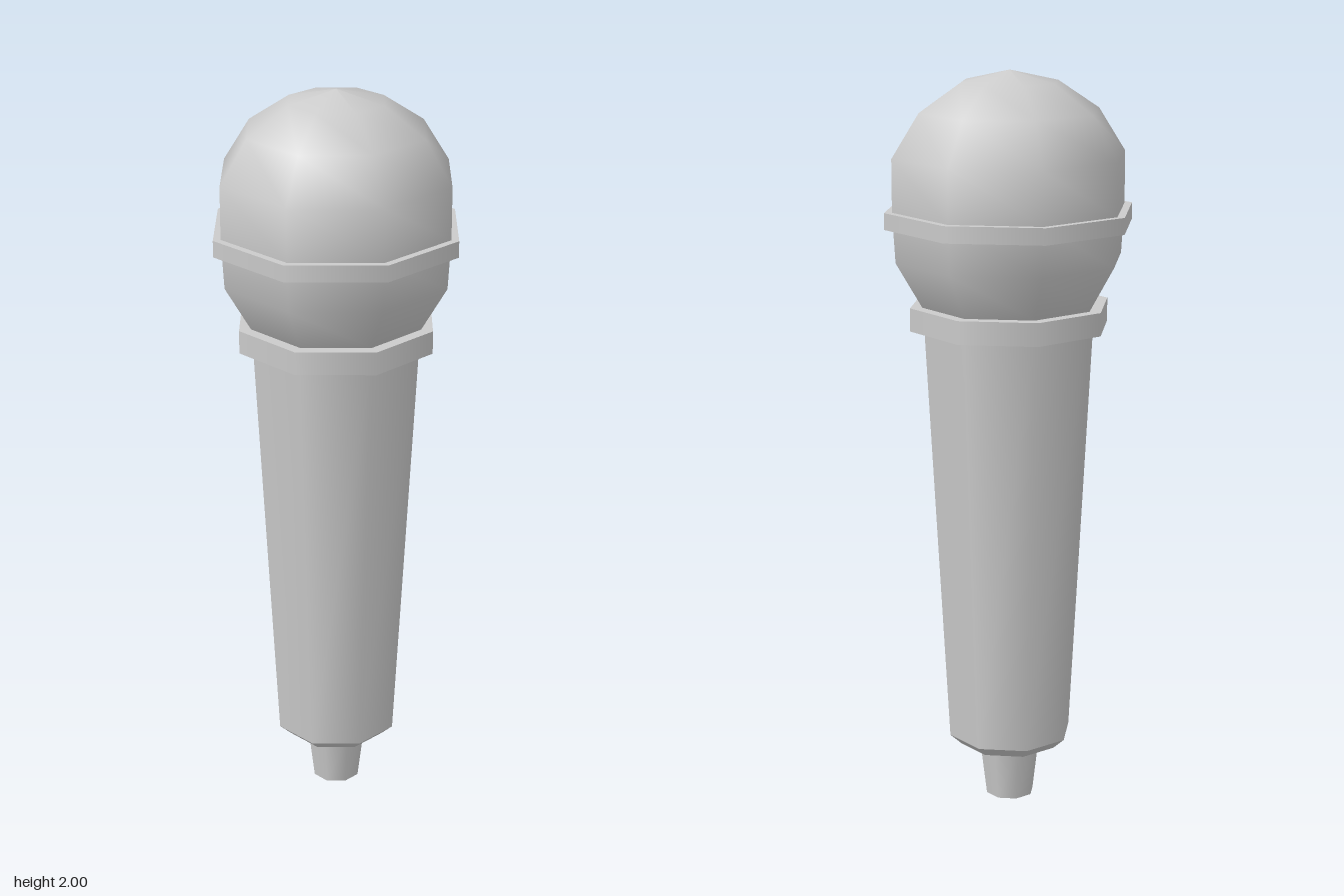
import * as THREE from 'three';

const SIDES = 8;

export function createModel() {
  const group = new THREE.Group();
  const material = new THREE.MeshStandardMaterial({ color: 0xcccccc });

  const add = (name, geometry) => {
    const mesh = new THREE.Mesh(geometry, material);
    mesh.name = name;
    group.add(mesh);
  };

  // Eight-sided tapered section between two heights
  const section = (name, bottomY, topY, bottomRadius, topRadius) => {
    const geometry = new THREE.CylinderGeometry(topRadius, bottomRadius, topY - bottomY, SIDES);
    geometry.translate(0, (bottomY + topY) / 2, 0);
    add(name, geometry);
  };

  // Cable plug, handle with bevelled base, collar and grille band
  section('cablePlug', 0, 0.155, 0.066, 0.085);
  section('handleBevel', 0.153, 0.182, 0.138, 0.17);
  section('handle', 0.182, 1.33, 0.17, 0.233);
  section('collar', 1.325, 1.387, 0.271, 0.271);
  section('grilleBand', 1.597, 1.641, 0.337, 0.337);

  // Rounded grille, profile from bottom to top
  const profile = [
    [0.2, 1.34], [0.238, 1.387], [0.308, 1.508], [0.316, 1.64],
    [0.316, 1.78], [0.243, 1.895], [0.131, 1.97], [0, 2],
  ].map(([r, y]) => new THREE.Vector2(r, y));
  add('grille', new THREE.LatheGeometry(profile, SIDES));

  return group;
}
